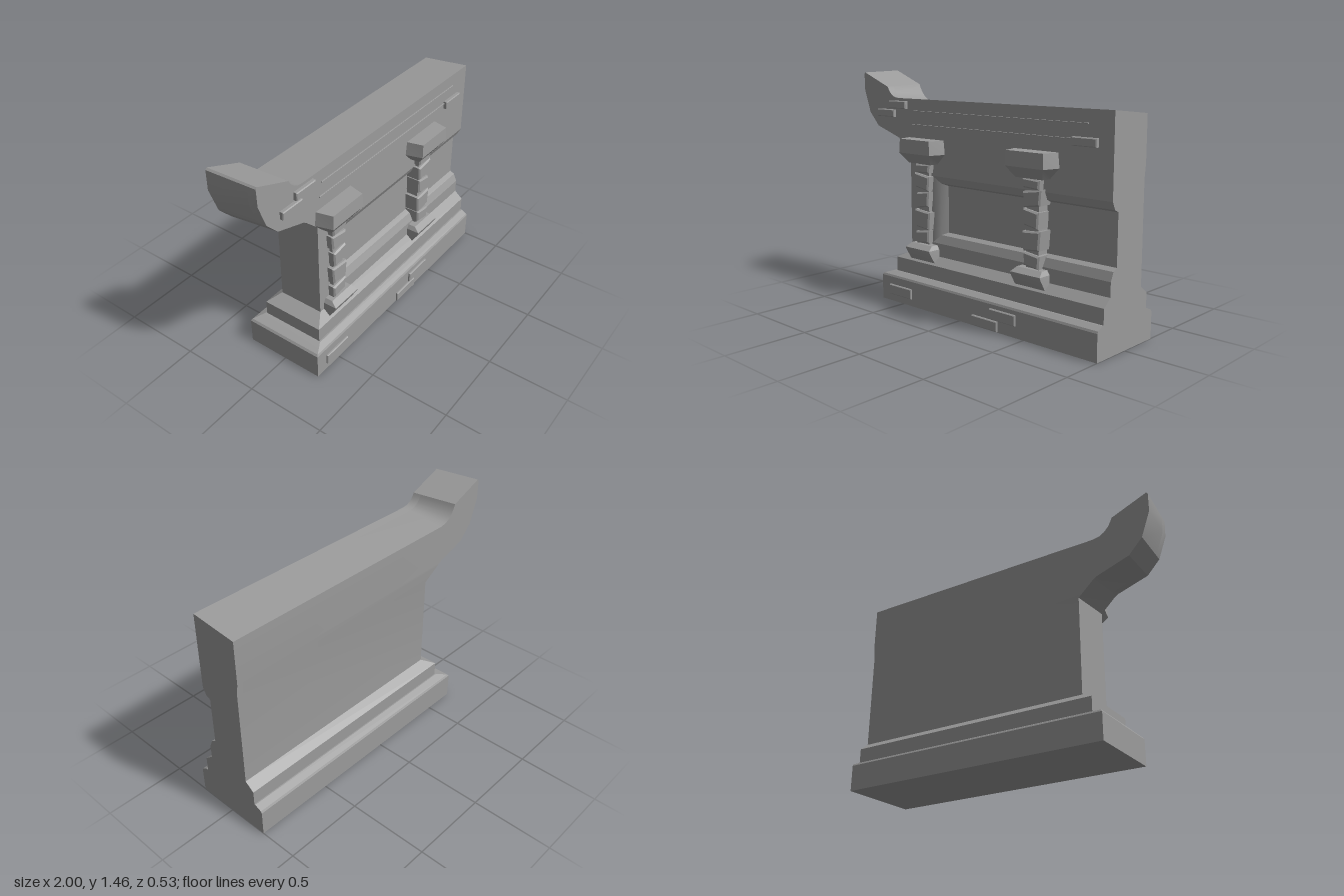
import * as THREE from 'three';
import { toCreasedNormals } from 'three/addons/utils/BufferGeometryUtils.js';

const material = new THREE.MeshStandardMaterial({ color: 0x9b9b9b });

// Skin matching outlines, ordered front to back, each counter-clockwise seen from +z.
// backBands lists point indices where the back face is folded into several planes.
function loft(rings, backBands) {
  const pos = [];
  const put = (...pts) => pts.forEach((p) => pos.push(...p));
  const cap = (ring, flip) => {
    const contour = ring.map((p) => new THREE.Vector2(p[0], p[1]));
    for (const [a, b, c] of THREE.ShapeUtils.triangulateShape(contour, [])) {
      if (flip) put(ring[a], ring[c], ring[b]);
      else put(ring[a], ring[b], ring[c]);
    }
  };
  const last = rings[rings.length - 1];
  cap(rings[0], false);
  for (const band of backBands ?? [last.keys()]) cap(Array.from(band, (i) => last[i]), true);
  for (let i = 0; i < rings.length - 1; i++) {
    const a = rings[i], b = rings[i + 1];
    for (let j = 0; j < a.length; j++) {
      const k = (j + 1) % a.length;
      put(a[j], b[j], b[k], a[j], b[k], a[k]);
    }
  }
  const geo = new THREE.BufferGeometry();
  geo.setAttribute('position', new THREE.Float32BufferAttribute(pos, 3));
  return toCreasedNormals(geo, 0.39);
}

// Stack of level outlines, top to bottom: [y, x0, x1, zFront, zBack, front inset].
function tiers(levels) {
  return loft(levels.map(([y, x0, x1, zf, zb, inset = 0]) => [
    [x0 + inset, -zf, y], [x1 - inset, -zf, y], [x1, -zb, y], [x0, -zb, y],
  ])).rotateX(-Math.PI / 2);
}

// Block standing off a wall: bevelled front, optional narrowing at the foot and tilt.
function stone(x0, x1, y0, y1, zBack, zFront, bevel, taper = 0, tilt = 0) {
  const ring = (z, d) => [
    [x0 + taper + d, y0 + d + tilt, z], [x1 - taper - d, y0 + d - tilt, z],
    [x1 - d, y1 - d - tilt, z], [x0 + d, y1 - d + tilt, z],
  ];
  return loft([ring(zFront, bevel), ring(zFront - bevel, 0), ring(zBack, 0)]);
}

// Wall outline at depth z; the prow leans outwards towards the back.
const FRONT = 0.142, BACK = -0.157;
function wallOutline(z, notch) {
  const t = (FRONT - z) / (FRONT - BACK);
  const p = (x, y, dx = 0, dy = 0) => [x + dx * t, y + dy * t];
  const pts = [p(-0.53, 0.31), p(1, 0.31)];
  if (notch) {
    const [x, lo, hi] = notch;
    pts.push([1, lo], [x, lo], [x, hi], [1, hi]);
  }
  pts.push(
    p(1, 0.92), p(1, 1.0), p(1, 1.295, 0, -0.03),
    // hollow curve up to the prow
    p(-0.64, 1.295, 0, -0.03), p(-0.675, 1.3, -0.01, -0.027), p(-0.7, 1.3115, -0.016, -0.02),
    p(-0.72, 1.329, -0.022, -0.01), p(-0.734, 1.35, -0.026, 0), p(-0.74, 1.362, -0.028, 0.008),
    // tip and underside
    p(-0.965, 1.45, -0.025, 0.008), p(-0.973, 1.44, -0.027, 0.008), p(-0.97, 1.335, -0.03, -0.005),
    p(-0.92, 1.195, -0.025, -0.02), p(-0.84, 1.11, -0.02, -0.025), p(-0.64, 1.045, -0.01, -0.03),
    p(-0.62, 1.03, -0.01, -0.03), p(-0.53, 0.945, 0, -0.025));
  // The back of the lower wall is set in slightly.
  return pts.map(([x, y]) => [x, y, z === BACK && y < 0.95 ? -0.147 : z]);
}

function createModel() {
  const model = new THREE.Group();
  model.name = 'wallWithProw';
  const add = (name, geo, parent = model) => {
    const mesh = new THREE.Mesh(geo, material);
    mesh.name = name;
    parent.add(mesh);
  };

  // Stepped base, cut flush at the +x end
  add('plinth', tiers([
    [0.19, -0.62, 1, 0.206, -0.212], [0.17, -0.69, 1, 0.244, -0.256],
    [0.158, -0.7, 1, 0.25, -0.263], [0, -0.7, 1, 0.25, -0.263],
  ]));
  add('baseStep', tiers([
    [0.326, -0.53, 1, 0.142, -0.147], [0.28, -0.615, 1, 0.197, -0.205], [0.17, -0.615, 1, 0.197, -0.205],
  ]));

  // Wall: solid rear slab, its back folded in three, and a front layer with the sunken panel
  const rear = [wallOutline(0.09), wallOutline(BACK)];
  const n = rear[0].length;
  const upper = Array.from({ length: n - 4 }, (_, i) => i + 3);
  add('wallRear', loft(rear, [[0, 1, 2, n - 1], [n - 1, 2, 3, n - 2], upper]));
  add('wallFrontWithPanel', loft([
    wallOutline(FRONT, [-0.335, 0.41, 0.83]),
    wallOutline(0.12, [-0.28, 0.46, 0.785]),
    wallOutline(0.09, [-0.245, 0.476, 0.77]),
  ]));

  // Pilasters: shaft of loose tilted stones between a capital and a foot
  // [x0, x1, y0, y1, taper, tilt]
  const shaftStones = [
    [-0.06, 0.064, 0.845, 0.9, 0.005, -0.003], [-0.07, 0.06, 0.745, 0.835, 0.007, 0.009],
    [-0.054, 0.056, 0.63, 0.725, 0.005, -0.008], [-0.068, 0.064, 0.497, 0.608, 0.009, 0.005],
    [-0.062, 0.054, 0.403, 0.48, 0.005, -0.007],
  ];
  for (const [name, x, side] of [['rightPilaster', -0.387, 1], ['leftPilaster', 0.49, -1]]) {
    const pilaster = new THREE.Group();
    pilaster.name = name;
    pilaster.position.x = x;
    model.add(pilaster);
    add('capital', tiers([
      [1.054, -0.16, 0.16, 0.242, 0.12, 0.03],
      [0.968, -0.17, 0.17, 0.245, 0.12, 0.035],
      [0.904, -0.105, 0.105, 0.2, 0.12, 0.01],
    ]), pilaster);
    add('shaftCore', tiers([
      [0.91, -0.045, 0.045, 0.165, 0.08], [0.38, -0.045, 0.045, 0.165, 0.08],
    ]), pilaster);
    for (const [x0, x1, y0, y1, taper, tilt] of shaftStones) {
      const [a, b] = side > 0 ? [x0, x1] : [-x1, -x0];
      add('shaftStone', stone(a, b, y0, y1, 0.08, 0.185, 0.009, taper, tilt * side), pilaster);
    }
    add('foot', tiers([
      [0.397, -0.09, 0.09, 0.19, 0.1], [0.372, -0.107, 0.107, 0.228, 0.1],
      [0.36, -0.108, 0.108, 0.225, 0.1], [0.29, -0.108, 0.108, 0.183, 0.1],
    ]), pilaster);
  }

  // Raised bricks: [x0, x1, y0, y1]
  const upperBricks = [
    [-0.71, -0.555, 1.23, 1.278], [-0.82, -0.665, 1.175, 1.222], [0.745, 0.905, 1.1, 1.148],
  ];
  const lowerBricks = [
    [-0.62, -0.42, 0.046, 0.11], [0.11, 0.31, 0.005, 0.066], [0.25, 0.445, 0.07, 0.134],
  ];
  for (const b of upperBricks) add('upperBrick', stone(...b, 0.12, 0.165, 0.005));
  for (const b of lowerBricks) add('lowerBrick', stone(...b, 0.23, 0.263, 0.005));

  // Fine ridges across the upper wall
  for (const [x0, x1, y] of [[-0.49, 0.84, 1.22], [-0.51, 0.745, 1.135]]) {
    add('fineRidge', stone(x0, x1, y - 0.003, y + 0.003, 0.13, 0.149, 0.001));
  }
  return model;
}

export { createModel };
